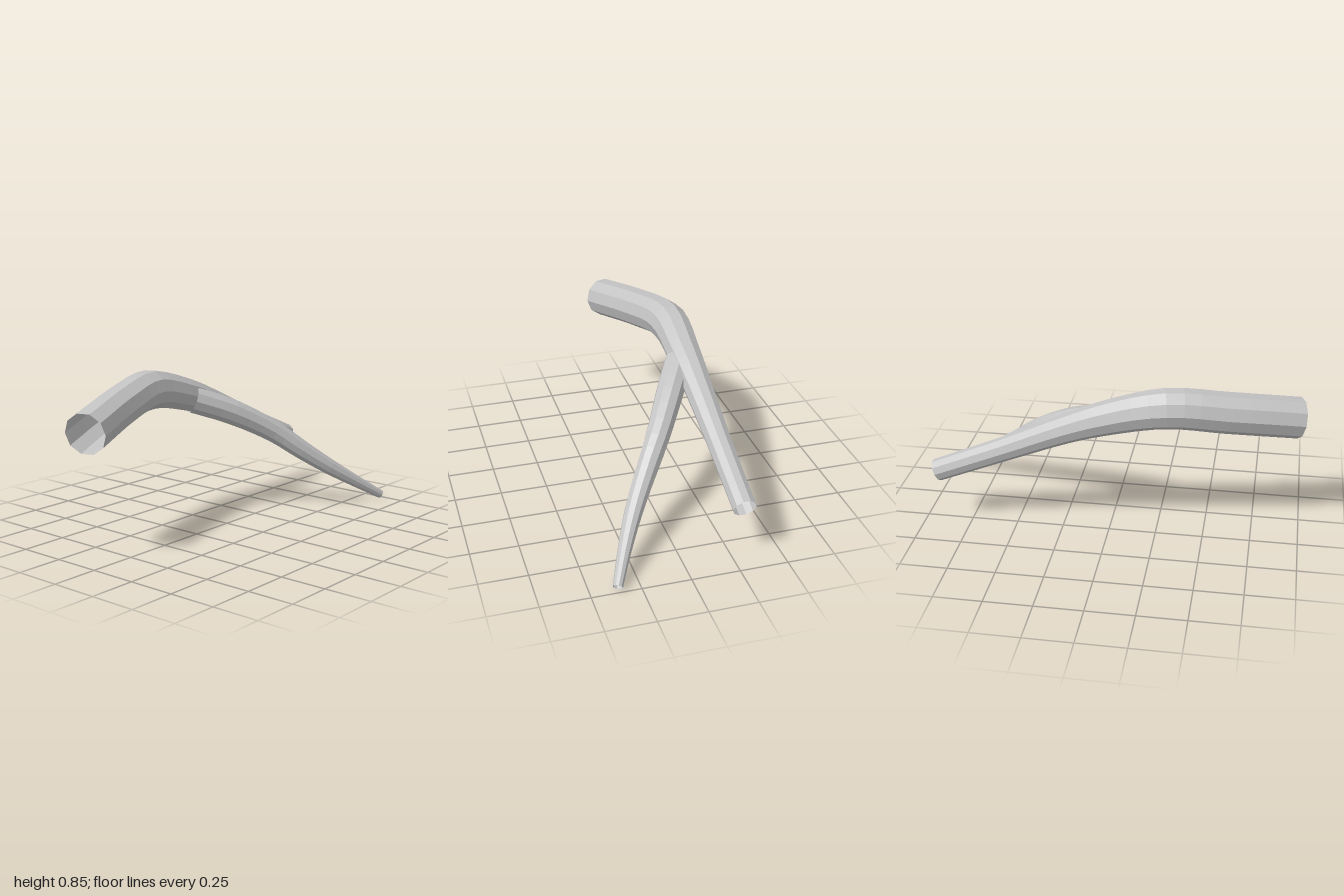
import * as THREE from 'three';

const SIDES = 10;
const bark = new THREE.MeshStandardMaterial({ color: 0xc4c4c4, flatShading: true, side: THREE.DoubleSide });
bark.name = 'bark grey';

// Open tapering tube; each station is [x, y, z, radius]
function limb(name, stations, steps) {
  const curve = new THREE.CatmullRomCurve3(stations.map(s => new THREE.Vector3(s[0], s[1], s[2])));
  const up = new THREE.Vector3(0, 1, 0);
  const positions = [], index = [];
  for (let i = 0; i <= steps; i++) {
    const t = i / steps;
    const f = t * (stations.length - 1);
    const k = Math.min(Math.floor(f), stations.length - 2);
    const r = THREE.MathUtils.lerp(stations[k][3], stations[k + 1][3], f - k);
    const centre = curve.getPoint(t);
    const tangent = curve.getTangent(t);
    const side = new THREE.Vector3().crossVectors(tangent, up).normalize();
    const top = new THREE.Vector3().crossVectors(side, tangent);
    for (let j = 0; j < SIDES; j++) {
      const a = j / SIDES * Math.PI * 2;
      const p = centre.clone().addScaledVector(side, r * Math.cos(a)).addScaledVector(top, r * Math.sin(a));
      positions.push(p.x, p.y, p.z);
      if (i < steps) {
        const p0 = i * SIDES + j, p1 = i * SIDES + (j + 1) % SIDES;
        index.push(p0, p1, p0 + SIDES, p1, p1 + SIDES, p0 + SIDES);
      }
    }
  }
  const geometry = new THREE.BufferGeometry();
  geometry.setAttribute('position', new THREE.Float32BufferAttribute(positions, 3));
  geometry.setIndex(index);
  geometry.computeVertexNormals();
  const mesh = new THREE.Mesh(geometry, bark);
  mesh.name = name;
  return mesh;
}

export function createModel() {
  const group = new THREE.Group();
  group.name = 'forkedBranch';

  // Main limb, thick at the front and arching over to the back
  group.add(limb('mainLimb', [
    [-0.075, 0.662, 0.962, 0.108],
    [-0.205, 0.725, 0.6, 0.107],
    [-0.28, 0.762, 0.3, 0.105],
    [-0.283, 0.69, 0, 0.09],
    [-0.285, 0.61, -0.22, 0.076],
    [-0.288, 0.468, -0.55, 0.064],
    [-0.29, 0.315, -0.917, 0.06],
  ], 24));

  // Side shoot, splitting off and drooping to a thin tip
  group.add(limb('sideShoot', [
    [-0.245, 0.67, 0.0, 0.075],
    [-0.13, 0.585, -0.2, 0.073],
    [0, 0.458, -0.41, 0.063],
    [0.1, 0.345, -0.54, 0.056],
    [0.2, 0.232, -0.68, 0.047],
    [0.29, 0.125, -0.835, 0.035],
    [0.365, 0.03, -0.983, 0.025],
  ], 18));

  return group;
}
